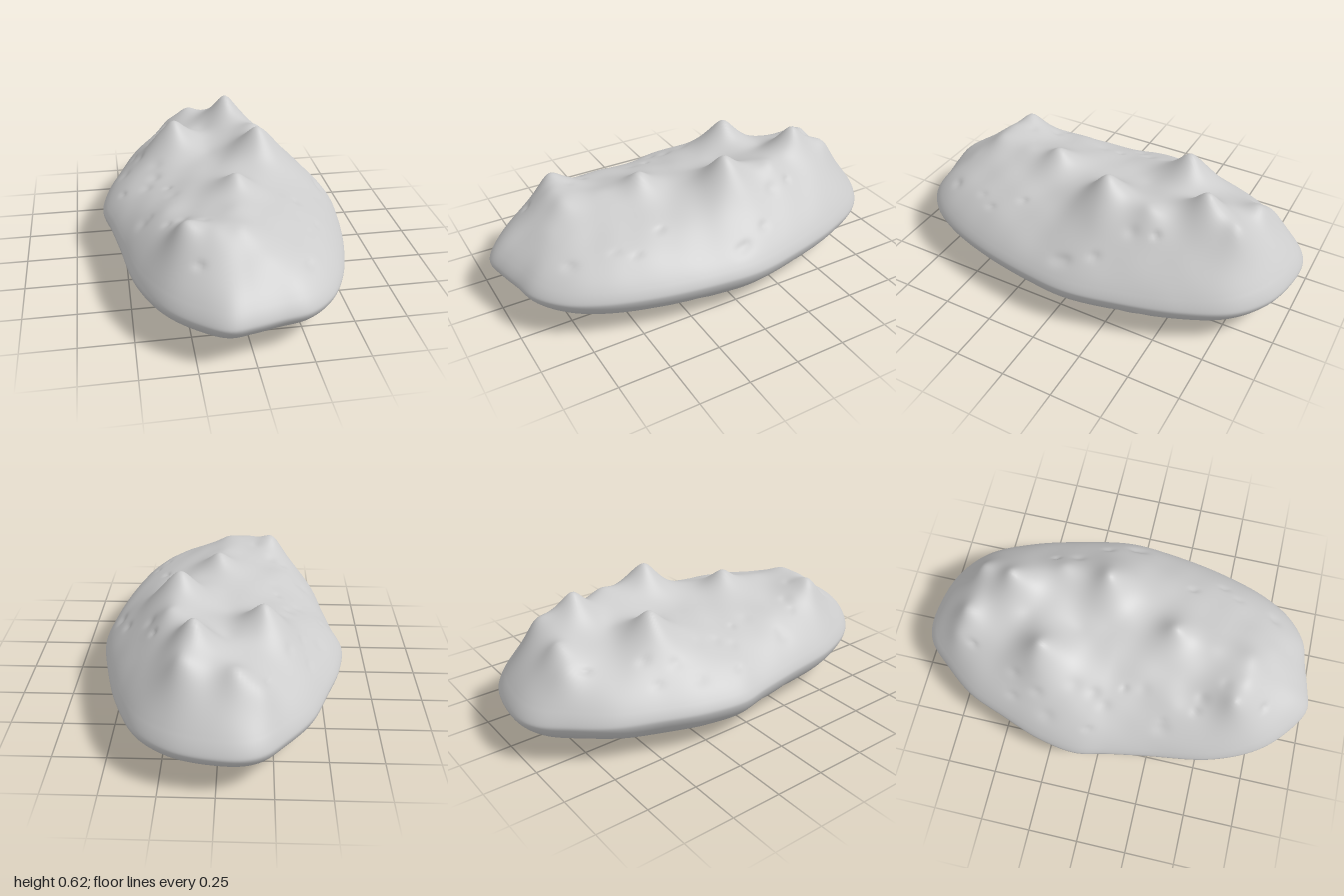
import * as THREE from 'three';

// Plan outline at the widest level (x, z), clockwise seen from above
const OUTLINE = [
  [-0.1, -1], [0.1, -0.98], [0.23, -0.93], [0.36, -0.82], [0.47, -0.6], [0.55, -0.32], [0.595, -0.07],
  [0.58, 0.15], [0.53, 0.43], [0.45, 0.68], [0.36, 0.83], [0.24, 0.925], [0.11, 0.955], [-0.01, 0.985],
  [-0.12, 1], [-0.25, 0.925], [-0.38, 0.79], [-0.48, 0.57], [-0.535, 0.25], [-0.57, 0.05],
  [-0.6, -0.1], [-0.57, -0.3], [-0.5, -0.5], [-0.42, -0.7], [-0.3, -0.86], [-0.2, -0.965],
];

// Peaks and hollows: x, z, height to reach, width
const PEAKS = [
  [0.11, -0.57, 0.63, 0.09], [0.16, -0.75, 0.55, 0.09], [-0.08, -0.77, 0.5, 0.07], [0.03, -0.69, 0.51, 0.06],
  [-0.2, -0.8, 0.41, 0.06], [-0.2, -0.35, 0.58, 0.09], [-0.29, -0.36, 0.5, 0.08],
  [0.2, -0.1, 0.62, 0.11], [0.26, -0.12, 0.58, 0.08], [0.34, -0.12, 0.49, 0.1], [0.24, -0.34, 0.54, 0.11],
  [0.03, 0.27, 0.555, 0.08], [0.1, 0.09, 0.48, 0.1], [-0.26, 0.62, 0.515, 0.08],
  [-0.13, 0.66, 0.49, 0.08], [-0.01, 0.66, 0.49, 0.08], [0.09, 0.77, 0.4, 0.07],
  [0.0, 0.47, 0.48, 0.1], [0.22, 0.6, 0.39, 0.09],
  [-0.2, 0.05, 0.43, 0.13], [-0.2, 0.36, 0.44, 0.1], [-0.32, 0.33, 0.41, 0.1],
  [-0.04, -0.2, 0.46, 0.1], [-0.03, -0.47, 0.48, 0.08],
];

const RIM = 0.2;
const CENTRE_HEIGHT = 0.23;

// Crown height above the rim: long slopes on the flanks, steeper at the two ends
function dome(x, z, t) {
  const endness = (z * z) / (z * z + 2.8 * x * x + 1e-6);
  return CENTRE_HEIGHT * Math.pow(Math.max(0, 1 - Math.pow(t, 2.5 + 2 * endness)), 0.72);
}

// Rounded-tip cone falloff
const falloff = (dx, dz, w) => Math.exp(-(Math.hypot(dx, dz, 0.04) - 0.04) / w);

function makeRelief() {
  const amp = PEAKS.map(() => 0);
  const relief = (x, z) => PEAKS.reduce((s, [px, pz, , w], k) => s + amp[k] * falloff(x - px, z - pz, w), 0);
  // Relax the amplitudes until every peak reaches its height
  for (let n = 0; n < 100; n++) {
    PEAKS.forEach(([x, z, h], k) => {
      amp[k] += 0.7 * (h - RIM - dome(x, z, Math.hypot(x / 0.58, z / 0.97)) - relief(x, z));
    });
  }
  return relief;
}

function seeded(seed) {
  return () => (seed = (seed * 16807) % 2147483647) / 2147483647;
}

// Gentle uneven surface
const lumps = (x, z) =>
  0.005 * Math.sin(11 * x + 4 * z + 2) * Math.sin(9 * z - 5 * x) +
  0.002 * Math.sin(25 * z + 9 * x) * Math.sin(24 * x - 8 * z + 1);

function rockGeometry(around = 220, rings = 160) {
  const curve = new THREE.CatmullRomCurve3(OUTLINE.map(([x, z]) => new THREE.Vector3(x, 0, z)), true);
  const edge = curve.getSpacedPoints(around);
  const relief = makeRelief();
  const points = [];

  // Rings run from the crown out to the rim and back under the base
  for (let i = 0; i <= rings; i++) {
    const s = i / rings;
    const t = Math.sin(s * Math.PI);
    for (let j = 0; j < around; j++) {
      const x = edge[j].x * t;
      const z = edge[j].z * t;
      let y;
      if (s <= 0.5) {
        y = RIM + dome(x, z, t) + (1 - Math.pow(t, 6)) * (relief(x, z) + lumps(x, z));
      } else {
        y = RIM * (1 - Math.pow(Math.max(0, 1 - Math.pow(t, 4)), 0.62));
        y += (1 - Math.pow(t, 6)) * (0.003 + lumps(x, z) * 0.5);
      }
      points.push(new THREE.Vector3(x, y, z));
    }
  }

  // Small weathered dents pressed toward the core, kept clear of the rim
  const rand = seeded(4217);
  for (let n = 0; n < 50; n++) {
    const s = rand() < 0.5 ? 0.15 + 0.2 * rand() : 0.62 + 0.15 * rand();
    const c = points[Math.floor(s * rings) * around + Math.floor(rand() * around)].clone();
    const r = 0.015 + 0.02 * rand();
    const depth = 0.004 + 0.007 * rand();
    const inward = new THREE.Vector3(0, 0.22, c.z * 0.7).sub(c).normalize();
    for (const p of points) {
      const d = p.distanceTo(c) / r;
      if (d < 2.5) p.addScaledVector(inward, depth * Math.exp(-d * d));
    }
  }
  points.forEach((p) => { p.y = Math.max(0, p.y); });

  // Soften the rim by averaging each point with its neighbours in the next rings
  const mid = rings / 2;
  for (let pass = 0; pass < 12; pass++) {
    for (let i = mid - 14; i <= mid + 14; i++) {
      for (let j = 0; j < around; j++) {
        const k = i * around + j;
        points[k].y = (points[k - around].y + 2 * points[k].y + points[k + around].y) / 4;
      }
    }
  }

  const id = (i, j) => (i === 0 || i === rings ? i * around : i * around + (j % around));
  const index = [];
  for (let i = 0; i < rings; i++) {
    for (let j = 0; j < around; j++) {
      if (i < rings - 1) index.push(id(i, j), id(i + 1, j + 1), id(i + 1, j));
      if (i > 0) index.push(id(i, j), id(i, j + 1), id(i + 1, j + 1));
    }
  }
  const geometry = new THREE.BufferGeometry().setFromPoints(points);
  geometry.setIndex(index);
  geometry.computeVertexNormals();
  return geometry;
}

export function createModel() {
  const group = new THREE.Group();
  group.name = 'boulder';
  const rock = new THREE.Mesh(rockGeometry(), new THREE.MeshStandardMaterial({ color: 0xcccccc }));
  rock.name = 'rock';
  group.add(rock);
  return group;
}
